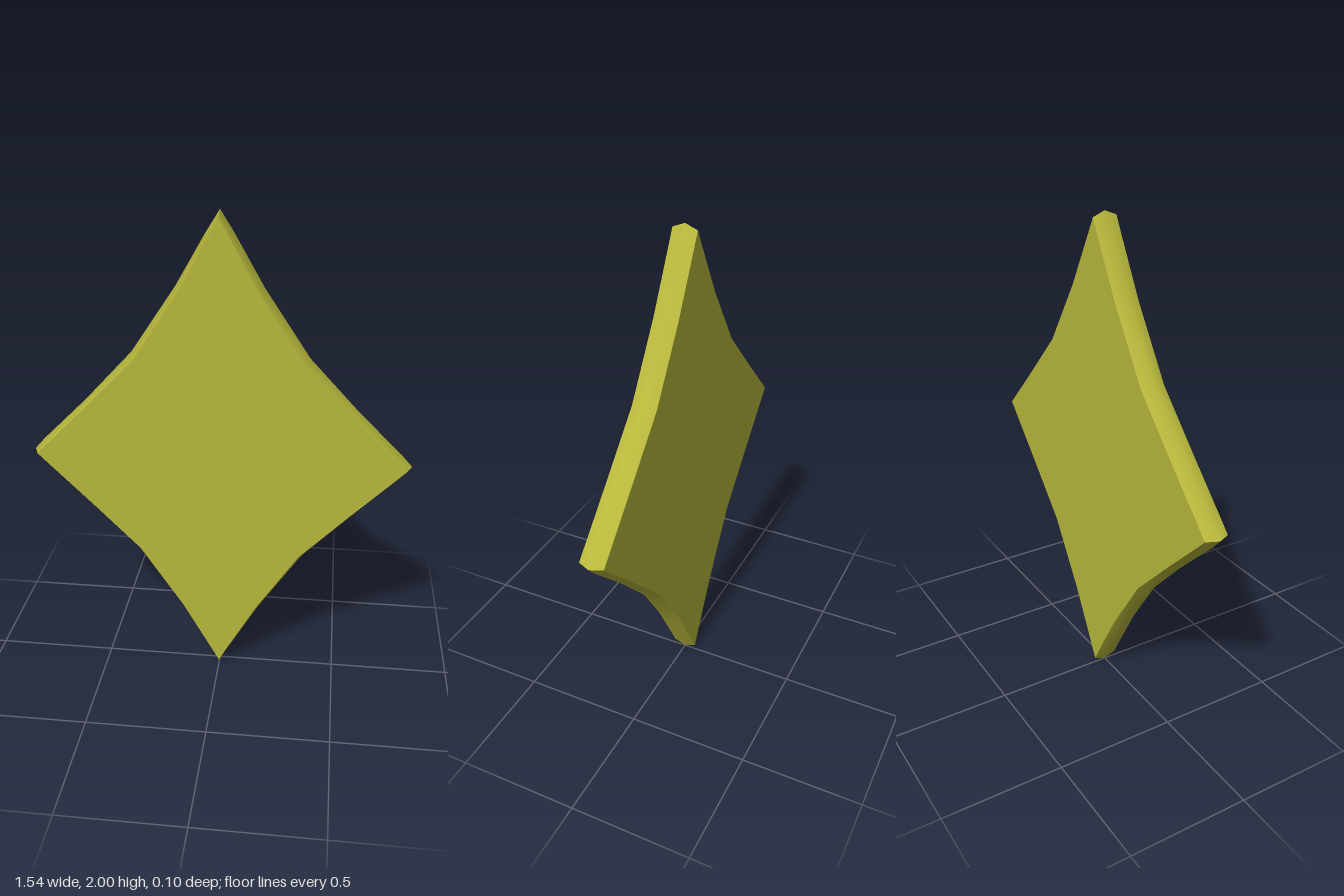
import * as THREE from 'three';
import { toCreasedNormals } from 'three/addons/utils/BufferGeometryUtils.js';

// Quarter outlines from the side tip up to the top tip, relative to the centre
const RIDGE = [[0.772, 0], [0.73, 0.047], [0.545, 0.23], [0.35, 0.44], [0.17, 0.71], [0.053, 0.915], [0, 1]];
const FACE = [[0.75, 0], [0.71, 0.041], [0.537, 0.215], [0.335, 0.423], [0.157, 0.695], [0.038, 0.91], [0, 0.98]];

// Mirror a quarter into a full counter-clockwise loop
function fullLoop(quarter) {
  const reversed = [...quarter].reverse();
  return [
    ...quarter.slice(0, -1),
    ...reversed.slice(0, -1).map(([x, y]) => [-x, y]),
    ...quarter.slice(0, -1).map(([x, y]) => [-x, -y]),
    ...reversed.slice(0, -1).map(([x, y]) => [x, -y]),
  ];
}

export function createModel() {
  const group = new THREE.Group();
  group.name = 'diamondPlate';

  // Three cross-sections: back face, outer ridge, front face
  const rings = [[FACE, -0.05], [RIDGE, 0], [FACE, 0.05]];
  const positions = [];
  for (const [quarter, z] of rings) {
    for (const [x, y] of fullLoop(quarter)) positions.push(x, y + 1, z);
  }
  const n = positions.length / 9;
  const backCentre = 3 * n, frontCentre = 3 * n + 1;
  positions.push(0, 1, -0.05, 0, 1, 0.05);

  const index = [];
  for (let j = 0; j < n; j++) {
    const k = (j + 1) % n;
    // Bevelled rim
    for (let r = 0; r < 2; r++) {
      const a = r * n + j, b = r * n + k;
      index.push(a, b, b + n, a, b + n, a + n);
    }
    // Flat back and front
    index.push(backCentre, k, j, frontCentre, 2 * n + j, 2 * n + k);
  }

  const geometry = new THREE.BufferGeometry();
  geometry.setAttribute('position', new THREE.Float32BufferAttribute(positions, 3));
  geometry.setIndex(index);

  // Smooth rim, sharp face borders and tips
  const plate = new THREE.Mesh(
    toCreasedNormals(geometry, THREE.MathUtils.degToRad(50)),
    new THREE.MeshStandardMaterial({ color: 0xb8b83c })
  );
  plate.name = 'plate';
  group.add(plate);
  return group;
}
